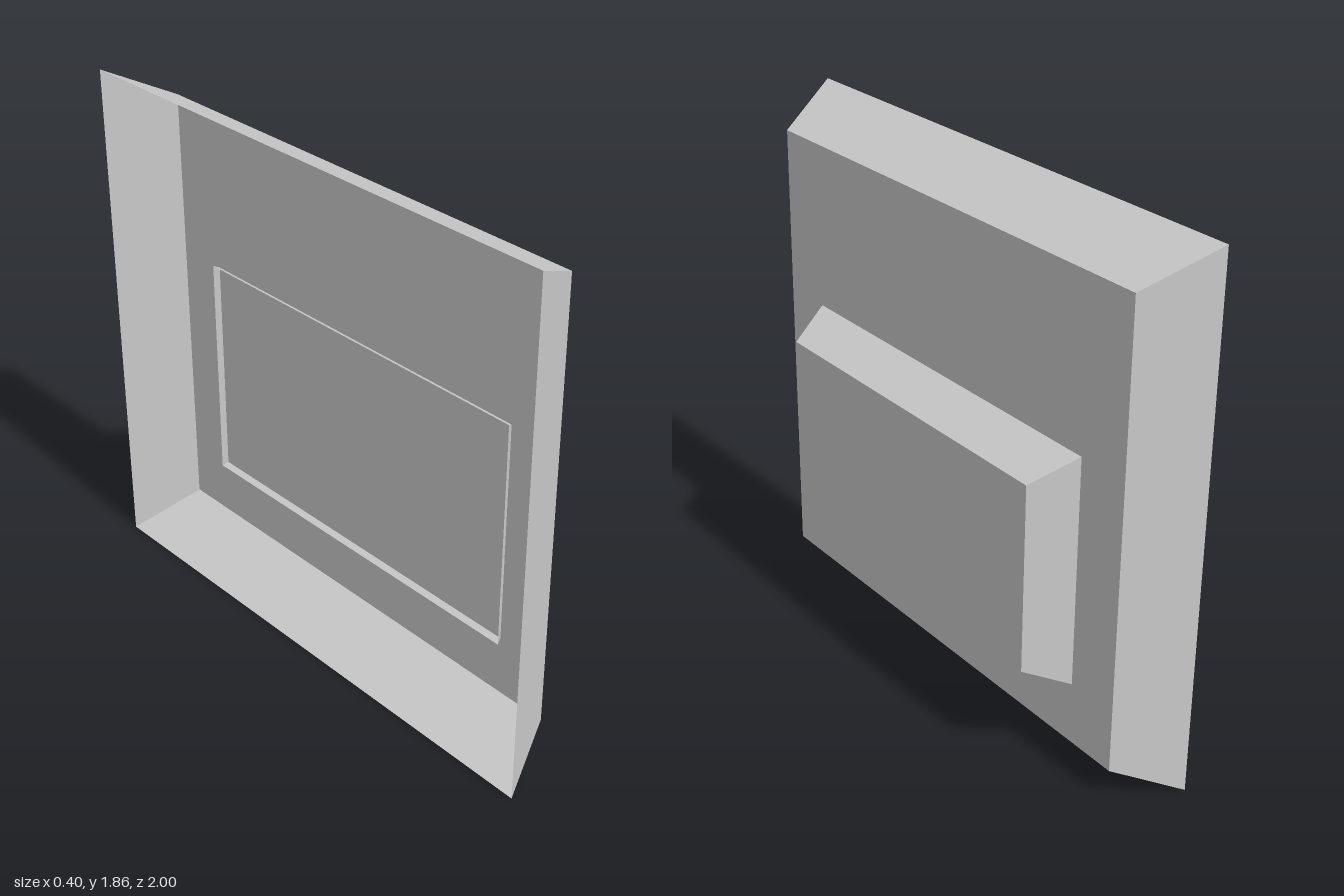
import * as THREE from 'three';

const material = new THREE.MeshStandardMaterial({
  color: 0xcccccc, flatShading: true, side: THREE.DoubleSide,
});

// Corners of an upright rectangle at depth x; the whole panel leans back very slightly.
function corners([x, halfZ, y0, y1]) {
  return [[halfZ, y0], [-halfZ, y0], [-halfZ, y1], [halfZ, y1]]
    .map(([z, y]) => [x - 0.0055 * (y - 0.93), y, z]);
}

// Thin tray, open at the back: four sloping walls and a flat front.
function tray(name, back, front) {
  const a = corners(back);
  const b = corners(front);
  const pos = [];
  const quad = (p, q, r, s) => pos.push(...p, ...q, ...r, ...p, ...r, ...s);
  for (let j = 0; j < 4; j++) {
    const k = (j + 1) % 4;
    quad(a[j], a[k], b[k], b[j]);
  }
  quad(...b);
  const geometry = new THREE.BufferGeometry();
  geometry.setAttribute('position', new THREE.Float32BufferAttribute(pos, 3));
  geometry.computeVertexNormals();
  const mesh = new THREE.Mesh(geometry, material);
  mesh.name = name;
  return mesh;
}

export function createModel() {
  const group = new THREE.Group();
  group.name = 'bevelledPanel';

  // Rectangles as [x, half width in z, bottom y, top y]
  group.add(
    // Large bevelled panel, hollow behind
    tray('panel', [-0.195, 1, 0, 1.855], [0.042, 0.897, 0.12, 1.737]),
    // Raised block, its open back edge poking slightly through the panel
    tray('raisedBlock', [0.021, 0.713, 0.329, 1.161], [0.195, 0.637, 0.413, 1.075]),
  );
  return group;
}
